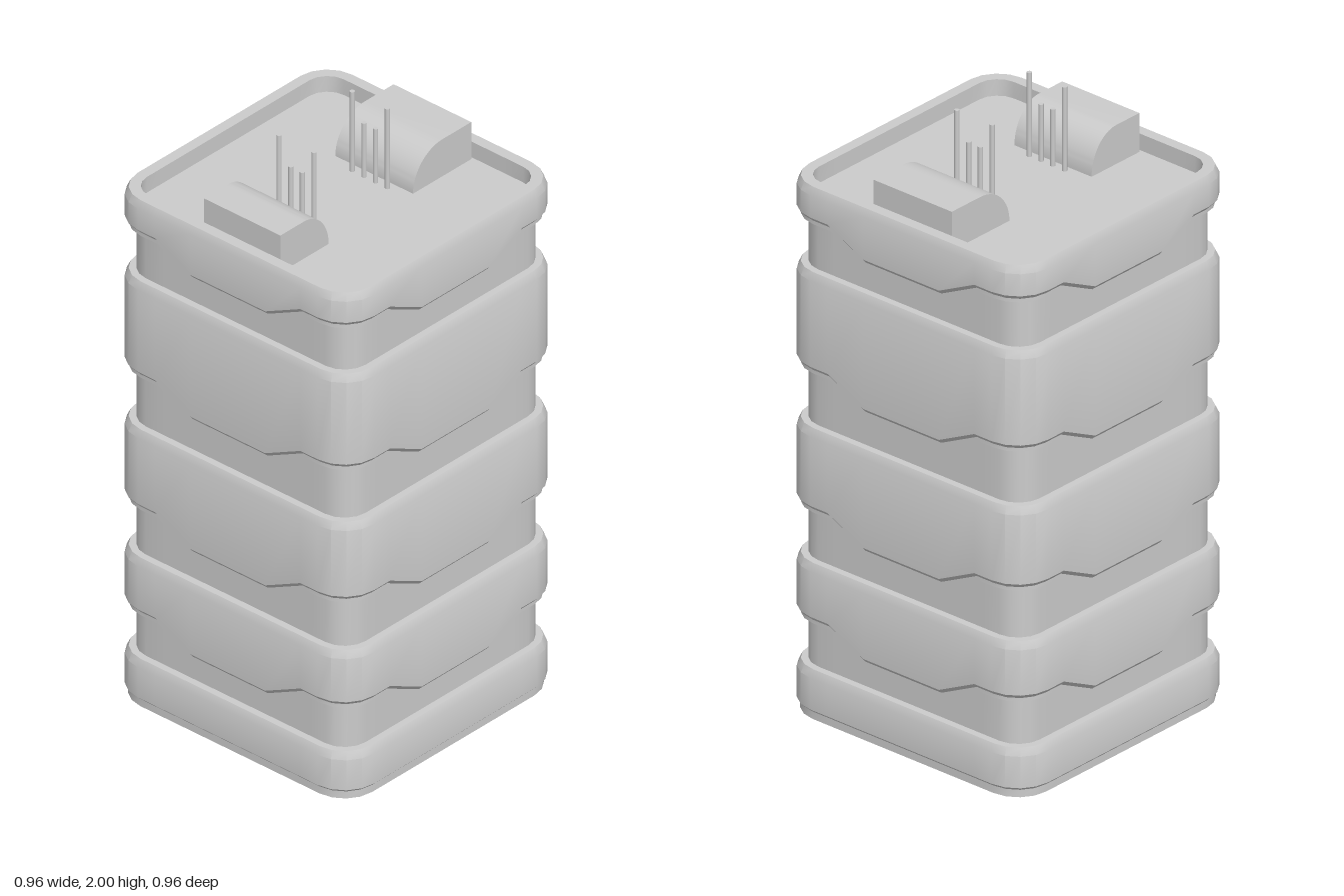
import * as THREE from 'three';
import { toCreasedNormals } from 'three/addons/utils/BufferGeometryUtils.js';

const material = new THREE.MeshStandardMaterial({ color: 0xcccccc });
const CORNER = 0.358; // centre of the rounded corners
const ROOF = 1.72;
const DIP = 0.068; // how far the lower edge drops mid-face

// Rounded-square outline, counter-clockwise from above; each point is [x, z, dip weight]
function outline(half) {
  const r = half - CORNER, side = [];
  for (const t of [-0.29, -0.15, 0.15, 0.29]) side.push([half, -t, Math.abs(t) < 0.2 ? 1 : 0]);
  for (let i = 0; i <= 4; i++) {
    const a = (i / 4) * Math.PI / 2;
    side.push([CORNER + r * Math.cos(a), -CORNER - r * Math.sin(a), 0]);
  }
  const points = [];
  for (let k = 0; k < 4; k++) {
    const c = Math.round(Math.cos(k * Math.PI / 2)), s = Math.round(Math.sin(k * Math.PI / 2));
    for (const [x, z, w] of side) points.push([x * c + z * s, z * c - x * s, w]);
  }
  return points;
}

// Skin a list of [half width, y, dip] rings, optionally closing the ends
function loft(name, rings, capBottom, capTop) {
  const pos = [], idx = [];
  let n = 0;
  for (const [half, y, dip = 0] of rings) {
    const pts = outline(half);
    n = pts.length;
    for (const [x, z, w] of pts) pos.push(x, y - dip * w, z);
  }
  const last = (rings.length - 1) * n;
  const bottom = pos.length / 3, top = bottom + 1;
  pos.push(0, rings[0][1], 0, 0, rings[rings.length - 1][1], 0);
  for (let j = 0; j < n; j++) {
    const k = (j + 1) % n;
    for (let i = 0; i < last; i += n) {
      idx.push(i + j, i + k, i + n + k, i + j, i + n + k, i + n + j);
    }
    if (capBottom) idx.push(bottom, k, j);
    if (capTop) idx.push(top, last + j, last + k);
  }
  const g = new THREE.BufferGeometry();
  g.setAttribute('position', new THREE.Float32BufferAttribute(pos, 3));
  g.setIndex(idx);
  const mesh = new THREE.Mesh(toCreasedNormals(g, 0.55), material);
  mesh.name = name;
  return mesh;
}

// Cladding band with a bevelled top and a stepped, dipping lower edge
function band(name, low, top, isRoof) {
  const rings = [
    [0.435, low, DIP], [0.466, low, DIP], [0.466, low + 0.012, DIP], [0.478, low + 0.026, DIP],
    [0.478, top - 0.025], [0.466, top],
  ];
  if (isRoof) rings.push([0.43, top], [0.43, ROOF - 0.01]); // parapet
  else rings.push([0.435, top]);
  return loft(name, rings);
}

// Roof housing with a flat top and a curved inner side, running from u0 to u1 outward
function housing(name, u0, curve, u1, width) {
  const s = new THREE.Shape();
  s.moveTo(u0, ROOF - 0.01);
  s.lineTo(u1, ROOF - 0.01);
  s.lineTo(u1, 1.85);
  s.lineTo(u0 + curve, 1.85);
  s.absellipse(u0 + curve, ROOF, curve, 0.13, Math.PI / 2, Math.PI, false, 0);
  const g = new THREE.ExtrudeGeometry(s, { depth: width, bevelEnabled: false, curveSegments: 10 });
  const mesh = new THREE.Mesh(toCreasedNormals(g, 0.5), material);
  mesh.name = name;
  return mesh;
}

export function createModel() {
  const model = new THREE.Group();
  model.name = 'tower';

  // Core, whose upper cap is the recessed roof floor
  model.add(loft('core', [[0.443, 0.1], [0.443, ROOF]], true, true));

  // Plinth
  model.add(loft('base', [
    [0.468, 0], [0.468, 0.025], [0.478, 0.035], [0.478, 0.14], [0.466, 0.165], [0.435, 0.165],
  ], true, false));

  // Cladding bands: [lower edge at the corners, top]
  [[0.318, 0.52], [0.688, 0.97], [1.152, 1.49], [1.65, 1.775]].forEach(([low, top], i) => {
    model.add(band('band' + (i + 1), low, top, i === 3));
  });

  // Roof housings
  const front = housing('frontHousing', 0.207, 0.11, 0.42, 0.305);
  front.rotation.y = -Math.PI / 2;
  front.position.x = 0.158;
  const back = housing('backHousing', 0.165, 0.13, 0.422, 0.31);
  back.rotation.y = Math.PI / 2;
  back.position.x = -0.152;
  model.add(front, back);

  // Two rows of antennas, the outer ones taller
  for (const z of [0.185, -0.138]) {
    const row = new THREE.Group();
    row.name = z > 0 ? 'frontAntennas' : 'backAntennas';
    [-0.06, -0.013, 0.033, 0.08].forEach((x, i) => {
      const tip = i === 0 || i === 3 ? 2 : 1.91;
      const h = tip - ROOF + 0.01;
      const rod = new THREE.Mesh(new THREE.CylinderGeometry(0.008, 0.008, h, 10), material);
      rod.name = 'antenna';
      rod.position.set(x, tip - h / 2, z);
      row.add(rod);
    });
    model.add(row);
  }
  return model;
}
